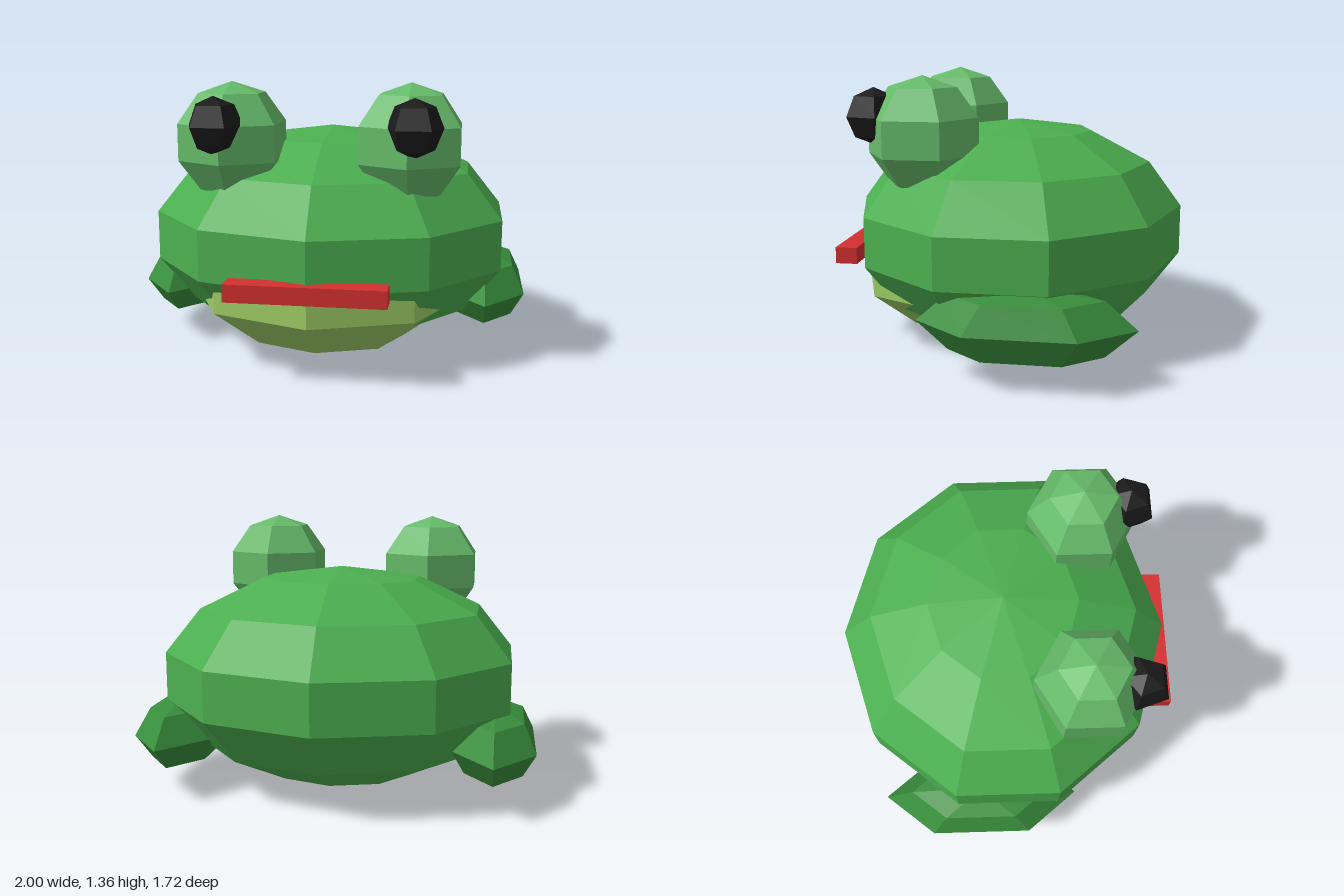
import * as THREE from 'three';

const mat = (color) => new THREE.MeshStandardMaterial({ color, flatShading: true });

// Faceted ellipsoid with one meridian pointing along +z
function blob(name, material, radii, segments, position) {
  const geometry = new THREE.SphereGeometry(1, segments[0], segments[1]);
  geometry.rotateY(-Math.PI / 2);
  geometry.scale(...radii);
  const mesh = new THREE.Mesh(geometry, material);
  mesh.name = name;
  mesh.position.set(...position);
  return mesh;
}

export function createModel() {
  const frog = new THREE.Group();
  frog.name = 'frog';

  const bodyMat = mat(0x4caf50);
  const legMat = mat(0x388e3c);
  const eyeMat = mat(0x66bb6a);
  const pupilMat = mat(0x1a1a1a);
  const chinMat = mat(0x9ccc65);
  const mouthMat = mat(0xd32f2f);

  // Body and pale chin
  frog.add(blob('body', bodyMat, [0.942, 0.558, 0.857], [10, 7], [0, 0.56, -0.025]));
  frog.add(blob('chin', chinMat, [0.708, 0.38, 0.614], [8, 5], [0, 0.392, 0.216]));

  // Mouth bar
  const mouth = new THREE.Mesh(new THREE.BoxGeometry(0.74, 0.083, 0.11), mouthMat);
  mouth.name = 'mouth';
  mouth.position.set(0, 0.447, 0.805);
  frog.add(mouth);

  // Mirrored eyes, pupils and legs
  for (const [side, s] of [['left', 1], ['right', -1]]) {
    frog.add(blob(side + 'Eye', eyeMat, [0.285, 0.285, 0.285], [6, 5], [s * 0.43, 1.075, 0.376]));

    // Five-sided pupil with a flat facet facing forward
    const pupil = blob(side + 'Pupil', pupilMat, [0.137, 0.137, 0.137], [5, 4], [s * 0.46, 1.167, 0.607]);
    frog.add(pupil);

    frog.add(blob(side + 'Leg', legMat, [0.231, 0.184, 0.504], [6, 4], [s * 0.8, 0.276, -0.17]));
  }

  return frog;
}
